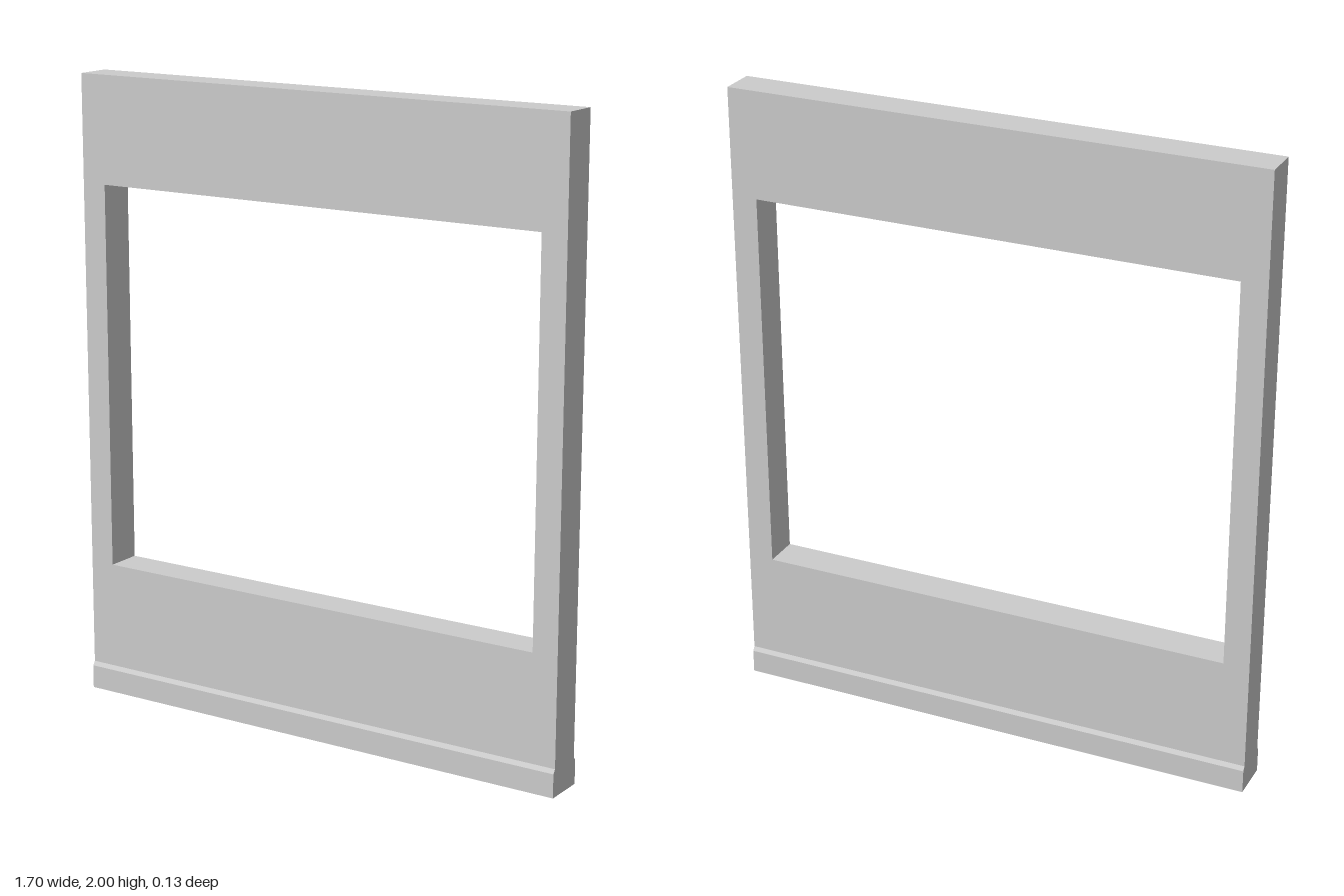
import * as THREE from 'three';

const HALF_W = 0.85, HEIGHT = 2, HALF_T = 0.058;

export function createModel() {
  const group = new THREE.Group();
  group.name = 'windowWall';
  const material = new THREE.MeshStandardMaterial({ color: 0xcccccc, flatShading: true });

  const add = (name, shape, depth) => {
    const geometry = new THREE.ExtrudeGeometry(shape, { depth, bevelEnabled: false });
    geometry.translate(0, 0, -depth / 2);
    const mesh = new THREE.Mesh(geometry, material);
    mesh.name = name;
    group.add(mesh);
    return mesh;
  };
  const points = (list) => list.map(([x, y]) => new THREE.Vector2(x, y));

  // Wall panel with a rectangular window opening
  const wall = new THREE.Shape(points([[-HALF_W, 0], [HALF_W, 0], [HALF_W, HEIGHT], [-HALF_W, HEIGHT]]));
  wall.holes.push(new THREE.Path(points([[-0.768, 0.43], [-0.768, 1.66], [0.768, 1.66], [0.768, 0.43]])));
  add('wallPanel', wall, HALF_T * 2);

  // Skirting with a sloped top edge, one along each face of the wall
  const skirting = new THREE.Shape(points([[HALF_T, 0], [0.067, 0], [0.067, 0.075], [HALF_T, 0.088]]));
  for (const [name, side] of [['frontSkirting', -1], ['backSkirting', 1]]) {
    add(name, skirting, HALF_W * 2).rotation.y = side * Math.PI / 2;
  }

  return group;
}
